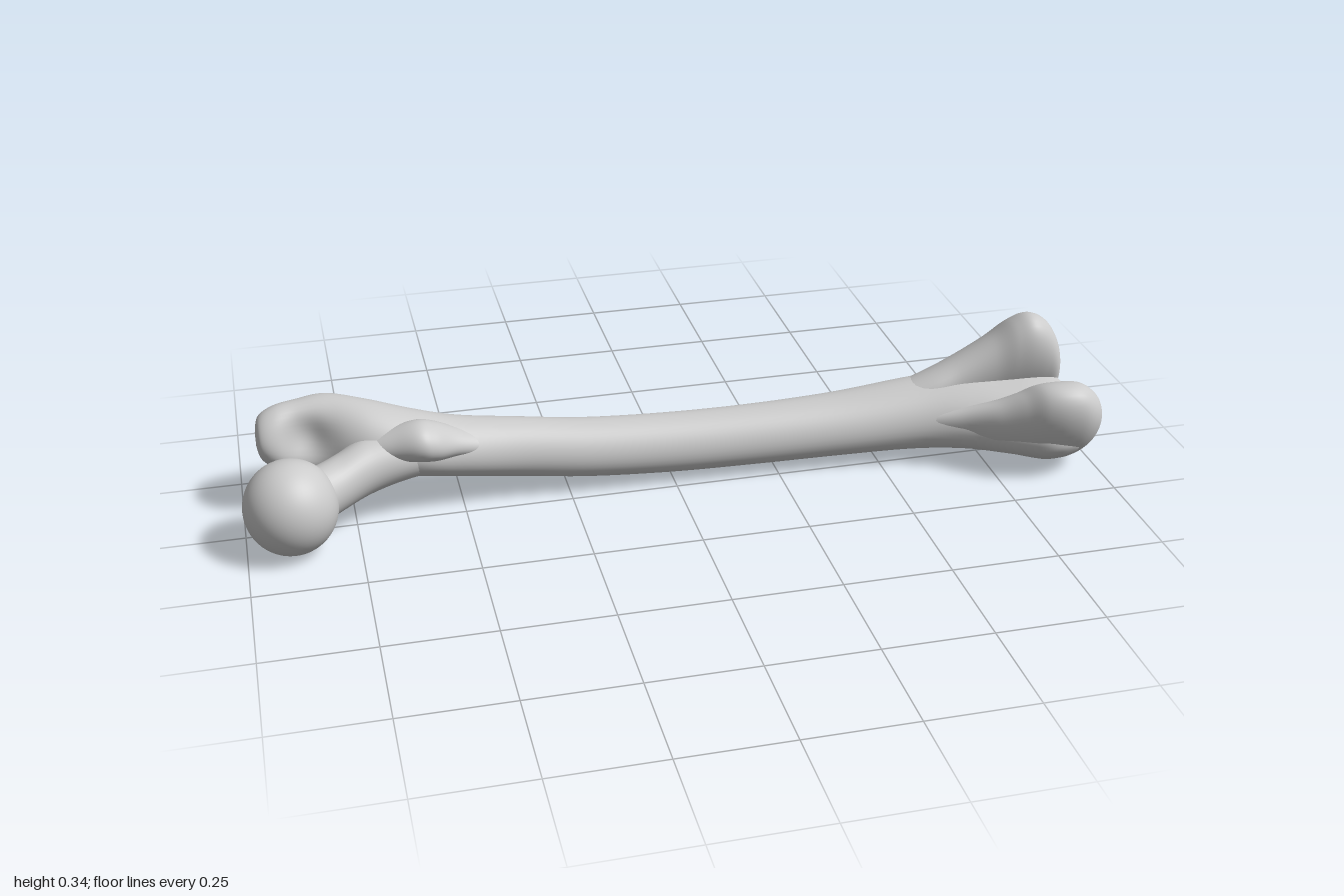
import * as THREE from 'three';

const material = new THREE.MeshStandardMaterial({ color: 0xcccccc });

// Catmull-Rom blend of whole sections
function blend(rows, i, t) {
  const at = k => rows[Math.min(Math.max(k, 0), rows.length - 1)];
  const [a, b, c, d] = [at(i - 1), at(i), at(i + 1), at(i + 2)];
  return b.map((v, k) => 0.5 * (2 * v + (c[k] - a[k]) * t
    + (2 * a[k] - 5 * v + 4 * c[k] - d[k]) * t * t
    + (3 * v - a[k] - 3 * c[k] + d[k]) * t * t * t));
}

// Closed loft along x. Each section: [x, yLow, yHigh, zLow, zHigh].
// shear leans the section in z with height; taper narrows its upper side.
function loft(name, sections, { shear = 0, taper = 0, steps = 8, sides = 40, dents = [] } = {}) {
  const rings = [];
  for (let i = 0; i < sections.length - 1; i++)
    for (let s = 0; s < steps; s++) rings.push(blend(sections, i, s / steps));
  rings.push(sections[sections.length - 1]);

  const pos = [], idx = [];
  for (const [x, y0, y1, z0, z1] of rings) {
    for (let j = 0; j < sides; j++) {
      const a = (j / sides) * Math.PI * 2;
      const up = Math.sin(a) * (y1 - y0) / 2;
      const out = Math.cos(a) * (z1 - z0) / 2 * (1 - taper * Math.sin(a));
      const p = new THREE.Vector3(x, (y0 + y1) / 2 + up, (z0 + z1) / 2 + out + shear * up);
      // Soft hollows: pushes fade with distance from their centre
      for (const { at, size, push } of dents) {
        const d = p.distanceTo(new THREE.Vector3(...at)) / size;
        p.addScaledVector(new THREE.Vector3(...push), Math.exp(-d * d * 2));
      }
      pos.push(p.x, p.y, p.z);
    }
  }
  for (let i = 0; i < rings.length - 1; i++)
    for (let j = 0; j < sides; j++) {
      const a = i * sides + j, b = i * sides + (j + 1) % sides;
      idx.push(a, a + sides, b, b, a + sides, b + sides);
    }
  // End caps
  const first = pos.length / 3, lastRing = (rings.length - 1) * sides;
  for (const [x, y0, y1, z0, z1] of [rings[0], rings[rings.length - 1]])
    pos.push(x, (y0 + y1) / 2, (z0 + z1) / 2);
  for (let j = 0; j < sides; j++) {
    const k = (j + 1) % sides;
    idx.push(first, j, k, first + 1, lastRing + k, lastRing + j);
  }
  const geo = new THREE.BufferGeometry();
  geo.setAttribute('position', new THREE.Float32BufferAttribute(pos, 3));
  geo.setIndex(idx);
  geo.computeVertexNormals();
  const mesh = new THREE.Mesh(geo, material);
  mesh.name = name;
  return mesh;
}

export function createModel() {
  const bone = new THREE.Group();
  bone.name = 'thighBone';

  // Bowed shaft, running from the greater trochanter to the flared knee end
  bone.add(loft('shaftAndGreaterTrochanter', [
    [-0.955, 0.17, 0.20, -0.14, -0.10],
    [-0.945, 0.135, 0.235, -0.175, -0.075],
    [-0.91, 0.105, 0.255, -0.198, -0.06],
    [-0.86, 0.085, 0.262, -0.212, -0.058],
    [-0.79, 0.075, 0.268, -0.225, -0.045],
    [-0.70, 0.08, 0.258, -0.195, -0.005],
    [-0.60, 0.082, 0.232, -0.167, 0.01],
    [-0.50, 0.066, 0.205, -0.156, 0.0],
    [-0.36, 0.045, 0.185, -0.148, -0.008],
    [-0.20, 0.026, 0.166, -0.142, -0.003],
    [0, 0.014, 0.156, -0.14, 0.002],
    [0.20, 0.012, 0.156, -0.138, 0.01],
    [0.40, 0.015, 0.165, -0.14, 0.025],
    [0.58, 0.019, 0.185, -0.145, 0.05],
    [0.70, 0.022, 0.195, -0.155, 0.095],
    [0.79, 0.02, 0.195, -0.168, 0.15],
    [0.86, 0.015, 0.195, -0.178, 0.185],
    [0.915, 0.016, 0.19, -0.172, 0.185],
    [0.948, 0.028, 0.175, -0.145, 0.165],
    [0.96, 0.06, 0.14, -0.08, 0.10],
  ], {
    taper: 0.1,
    dents: [
      { at: [-0.85, 0.2, -0.05], size: 0.08, push: [0.01, -0.01, -0.035] }, // hollow behind the neck
      { at: [0.95, 0.03, 0.0], size: 0.08, push: [-0.015, 0.012, 0] },      // kneecap groove
    ],
  }));

  // Ball of the hip joint
  const head = new THREE.Mesh(new THREE.SphereGeometry(0.105, 48, 32), material);
  head.name = 'head';
  head.scale.set(1, 1.04, 1);
  head.position.set(-0.895, 0.11, 0.075);
  bone.add(head);

  // Neck joining the ball to the shaft
  bone.add(loft('neck', [
    [-0.90, 0.045, 0.18, 0.01, 0.14],
    [-0.84, 0.05, 0.178, -0.025, 0.125],
    [-0.78, 0.06, 0.185, -0.06, 0.08],
    [-0.71, 0.072, 0.205, -0.10, 0.04],
    [-0.62, 0.085, 0.21, -0.13, 0.015],
    [-0.52, 0.085, 0.18, -0.13, -0.02],
  ]));

  // Small knob below the neck
  bone.add(loft('lesserTrochanter', [
    [-0.73, 0.15, 0.19, -0.06, -0.01],
    [-0.66, 0.145, 0.22, -0.07, 0.016],
    [-0.60, 0.145, 0.238, -0.07, 0.04],
    [-0.56, 0.14, 0.228, -0.075, 0.034],
    [-0.51, 0.135, 0.2, -0.08, 0.006],
    [-0.44, 0.12, 0.17, -0.08, -0.02],
  ]));

  // Taller condyle at the back, with its ridge rising from the shaft
  bone.add(loft('backCondyle', [
    [0.50, 0.08, 0.15, -0.11, -0.02],
    [0.62, 0.07, 0.198, -0.13, 0.0],
    [0.70, 0.06, 0.235, -0.145, 0.0],
    [0.78, 0.055, 0.285, -0.155, 0.008],
    [0.83, 0.055, 0.328, -0.158, 0.018],
    [0.87, 0.055, 0.345, -0.158, 0.022],
    [0.91, 0.058, 0.325, -0.155, 0.018],
    [0.94, 0.068, 0.28, -0.145, 0.008],
    [0.955, 0.095, 0.23, -0.125, -0.015],
    [0.96, 0.14, 0.18, -0.09, -0.05],
  ], { shear: 0.35 }));

  // Lower, longer condyle at the front
  bone.add(loft('frontCondyle', [
    [0.58, 0.06, 0.13, -0.02, 0.035],
    [0.68, 0.04, 0.155, -0.01, 0.08],
    [0.75, 0.03, 0.18, 0.01, 0.13],
    [0.80, 0.025, 0.21, 0.025, 0.165],
    [0.84, 0.015, 0.238, 0.03, 0.19],
    [0.885, 0.005, 0.246, 0.032, 0.203],
    [0.93, 0.008, 0.24, 0.032, 0.203],
    [0.965, 0.025, 0.215, 0.035, 0.188],
    [0.988, 0.055, 0.185, 0.05, 0.165],
    [1.0, 0.105, 0.145, 0.09, 0.13],
  ], { shear: 0.42 }));

  return bone;
}
